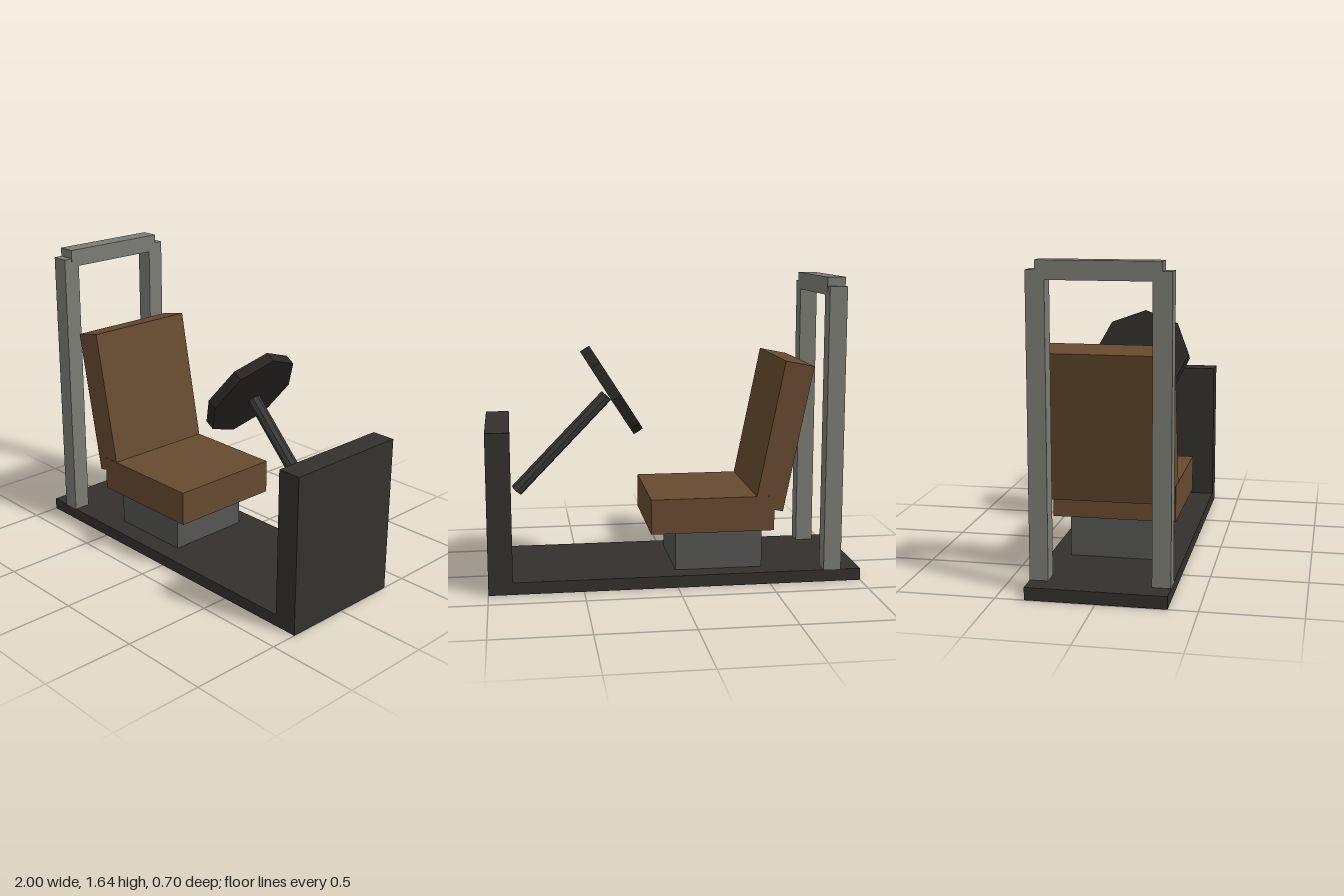
import * as THREE from 'three';

const mat = (color) => new THREE.MeshStandardMaterial({ color, flatShading: true });

export function createModel() {
  const model = new THREE.Group();
  const dark = mat(0x34302d);
  const brown = mat(0x664a2f);
  const grey = mat(0x555553);
  const steel = mat(0x7b7c74);
  const black = mat(0x2a2523);
  const columnGrey = mat(0x3a3937);

  const add = (name, geometry, material) => {
    const mesh = new THREE.Mesh(geometry, material);
    mesh.name = name;
    model.add(mesh);
    return mesh;
  };

  // Box given by its x and y limits and its half depth, centred on z
  const box = (name, x0, x1, y0, y1, halfZ, material, z = 0) => {
    const mesh = add(name, new THREE.BoxGeometry(x1 - x0, y1 - y0, halfZ * 2), material);
    mesh.position.set((x0 + x1) / 2, (y0 + y1) / 2, z);
    return mesh;
  };

  // Floor and front panel
  box('floor', -1, 1, 0, 0.065, 0.352, dark);
  box('frontPanel', 0.872, 1, 0.065, 0.86, 0.352, dark);

  // Roll bar: two posts and a slightly raised crossbar
  for (const [name, side] of [['leftPost', -1], ['rightPost', 1]]) {
    box(name, -0.89, -0.795, 0.065, 1.59, 0.047, steel, side * 0.305);
  }
  box('crossbar', -0.891, -0.794, 1.543, 1.637, 0.305, steel);

  // Seat with pedestal and leaning backrest
  box('seatPedestal', -0.475, 0, 0.065, 0.29, 0.24, grey);
  box('seatCushion', -0.525, 0.14, 0.288, 0.476, 0.32, brown);
  const back = add('backrest', new THREE.BoxGeometry(0.157, 0.796, 0.638), brown);
  back.position.set(-0.574, 0.796, 0);
  back.rotation.z = 0.2;

  // Eight-sided steering wheel, tilted toward the seat
  const wheel = add('steeringWheel', new THREE.CylinderGeometry(0.272, 0.272, 0.058, 8), black);
  wheel.position.set(0.315, 1.018, 0);
  wheel.rotation.z = Math.atan2(0.46, -0.29) - Math.PI;
  wheel.rotation.z = Math.PI / 2 - Math.atan2(0.29, 0.46);

  // Steering column between the wheel and the panel
  const top = new THREE.Vector3(0.345, 0.99, 0);
  const bottom = new THREE.Vector3(0.84, 0.478, 0);
  const column = add('steeringColumn',
    new THREE.CylinderGeometry(0.035, 0.035, top.distanceTo(bottom), 8), columnGrey);
  column.position.copy(top).add(bottom).multiplyScalar(0.5);
  column.rotation.z = Math.atan2(bottom.x - top.x, top.y - bottom.y);

  return model;
}
